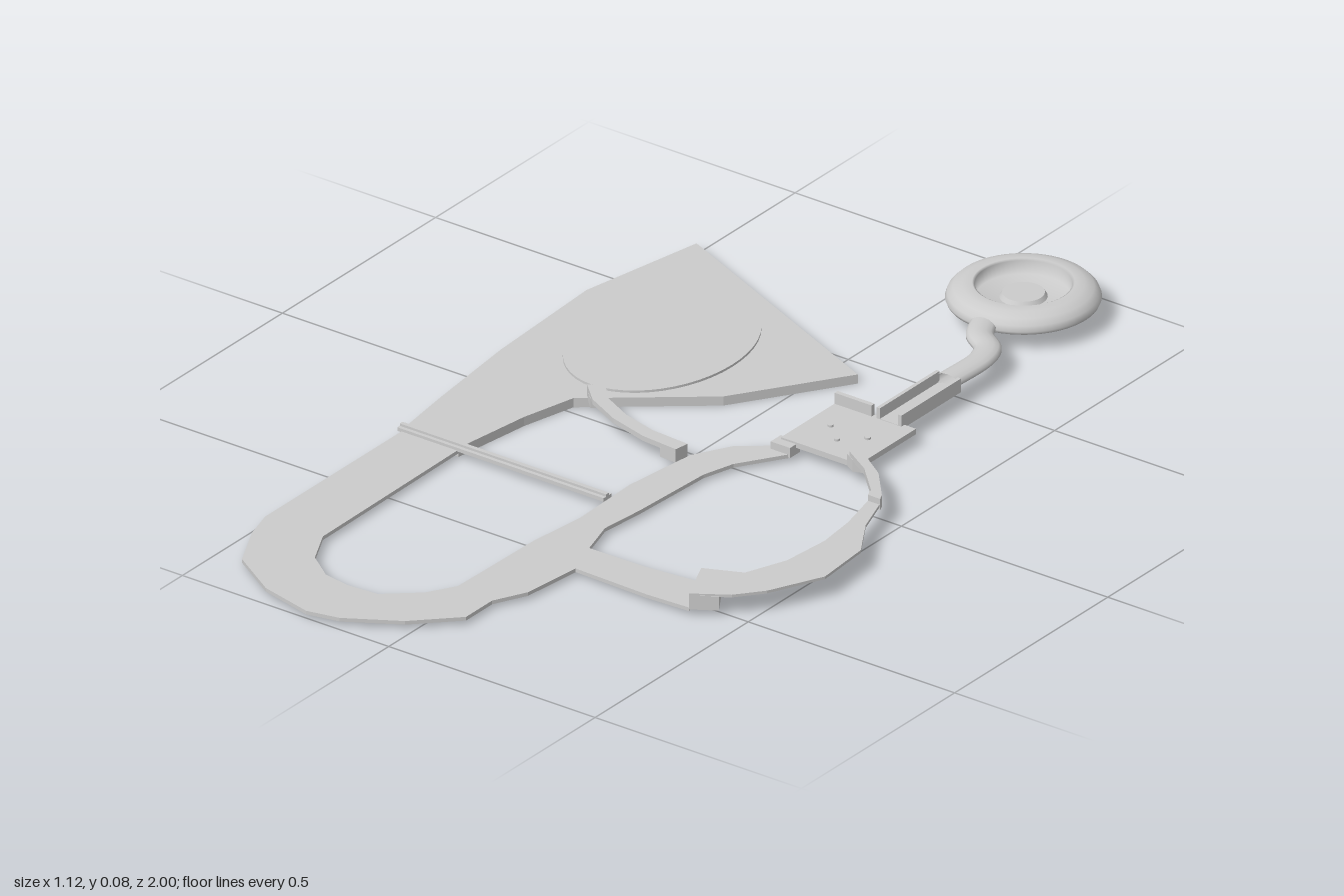
import * as THREE from 'three';

const material = new THREE.MeshStandardMaterial({ color: 0xcccccc, side: THREE.DoubleSide });

export function createModel() {
  const model = new THREE.Group();

  const add = (name, geometry, x = 0, y = 0, z = 0) => {
    const mesh = new THREE.Mesh(geometry, material);
    mesh.name = name;
    mesh.position.set(x, y, z);
    model.add(mesh);
    return mesh;
  };

  // Flat part cut from an [x, z] outline, between heights y0 and y1
  const slab = (name, outline, y0, y1) => {
    const shape = new THREE.Shape(outline.map(([x, z]) => new THREE.Vector2(x, -z)));
    const geometry = new THREE.ExtrudeGeometry(shape, { depth: y1 - y0, bevelEnabled: false });
    return add(name, geometry.rotateX(-Math.PI / 2), 0, y0, 0);
  };

  // Box given by its limits
  const box = (name, x0, x1, y0, y1, z0, z1) =>
    add(name, new THREE.BoxGeometry(x1 - x0, y1 - y0, z1 - z0), (x0 + x1) / 2, (y0 + y1) / 2, (z0 + z1) / 2);

  // Fan-shaped end plate with a raised oval pad
  slab('fanPlate', [
    [-0.5, 0.28], [-0.52, 0.13], [-0.545, -0.1], [-0.56, -0.4], [-0.505, -0.685],
    [0.075, -0.43], [-0.08, -0.2], [-0.31, -0.02], [-0.34, 0.1], [-0.365, 0.28],
  ], 0, 0.02);
  const pad = add('ovalPad', new THREE.CylinderGeometry(1, 1, 0.005, 48), -0.31, 0.0225, -0.31);
  pad.scale.set(0.17, 1, 0.23);

  // Thin U-shaped strip with its side branch
  slab('mainStrip', [
    [-0.5, 0.28], [-0.5, 0.73], [-0.48, 0.8], [-0.43, 0.9], [-0.32, 0.97], [-0.2, 1],
    [-0.13, 0.985], [-0.02, 0.92], [0.065, 0.835], [0.065, 0.75], [0.1, 0.68], [0.115, 0.545],
    [0.29, 0.55], [0.39, 0.545], [0.345, 0.445], [0.22, 0.458], [0.085, 0.46],
    [0.06, 0.375], [0.07, 0.275], [0.08, 0.08], [0.1, 0.01], [0.165, -0.09], [0.125, -0.105],
    [0.055, -0.05], [0.01, 0.03], [-0.01, 0.2], [-0.005, 0.37], [-0.02, 0.5], [-0.025, 0.74],
    [-0.06, 0.8], [-0.13, 0.86], [-0.2, 0.865], [-0.26, 0.855], [-0.32, 0.81], [-0.36, 0.73],
    [-0.365, 0.28],
  ], 0.008, 0.016);

  // Raised side loop, its support post and the bridge to the joint plate
  slab('sideLoop', [
    [0.46, 0.01], [0.495, 0.11], [0.55, 0.2], [0.56, 0.33], [0.505, 0.445], [0.46, 0.5],
    [0.39, 0.545], [0.345, 0.445], [0.425, 0.41], [0.46, 0.32], [0.47, 0.21], [0.46, 0.12], [0.435, 0.015],
  ], 0.041, 0.047);
  slab('loopPost', [[0.39, 0.545], [0.345, 0.445], [0.385, 0.428], [0.44, 0.515]], 0.012, 0.043);
  slab('loopBridge', [
    [0.3, -0.1], [0.32, -0.115], [0.4, -0.06], [0.46, 0.01], [0.467, 0.025],
    [0.437, 0.025], [0.43, 0.005], [0.365, -0.06],
  ], 0.046, 0.06);
  slab('bridgeEnd', [[0.29, -0.105], [0.32, -0.115], [0.34, -0.1], [0.315, -0.09]], 0.024, 0.05);
  slab('bridgeEnd', [[0.435, -0.02], [0.46, 0.01], [0.467, 0.025], [0.437, 0.025], [0.415, -0.01]], 0.035, 0.05);

  // Curved bar standing on two feet
  slab('curvedBar', [
    [-0.295, -0.045], [-0.265, -0.065], [-0.23, -0.025], [-0.16, 0.01], [-0.08, 0.032], [0.01, 0.038],
    [0.005, 0.07], [-0.08, 0.063], [-0.17, 0.038], [-0.25, -0.002],
  ], 0.033, 0.044);
  slab('barFoot', [[-0.295, -0.045], [-0.265, -0.065], [-0.24, -0.035], [-0.265, -0.015]], 0.015, 0.035);
  slab('barFoot', [[-0.035, 0.036], [0.01, 0.038], [0.005, 0.07], [-0.035, 0.067]], 0.014, 0.035);

  // Straight cross bar with a narrow rib
  box('crossBar', -0.51, -0.01, 0.014, 0.022, 0.26, 0.285);
  box('crossBarRib', -0.51, -0.01, 0.022, 0.027, 0.268, 0.277);

  // Joint plate with lip, foot and rivets
  box('jointPlate', 0.13, 0.32, 0.024, 0.036, -0.29, -0.105);
  box('jointLip', 0.13, 0.22, 0.034, 0.06, -0.29, -0.28);
  box('jointFoot', 0.12, 0.167, 0.01, 0.032, -0.118, -0.085);
  for (const [x, z] of [[0.18, -0.2], [0.225, -0.16], [0.27, -0.2]])
    add('rivet', new THREE.CylinderGeometry(0.006, 0.006, 0.005, 12), x, 0.038, z);

  // Open channel stem
  box('stemFloor', 0.232, 0.292, 0.03, 0.037, -0.475, -0.28);
  for (const x of [0.232, 0.284]) box('stemWall', x, x + 0.008, 0.03, 0.06, -0.475, -0.28);

  // Bent neck leading to the dish
  const path = new THREE.CatmullRomCurve3([
    [0.262, -0.47], [0.262, -0.58], [0.245, -0.625], [0.2, -0.66], [0.17, -0.72],
  ].map(([x, z]) => new THREE.Vector3(x, 0, z)));
  const neck = add('neck', new THREE.TubeGeometry(path, 28, 0.028, 14), 0, 0.048, 0);
  neck.scale.y = 0.5;

  // Round dish with a rolled rim, sunken floor and central hub
  const rim = [
    [0, 0.034], [0.14, 0.034], [0.15, 0.039], [0.153, 0.046], [0.149, 0.057], [0.138, 0.068],
    [0.12, 0.075], [0.1, 0.077], [0.095, 0.074], [0.093, 0.046], [0, 0.046],
  ].map(([r, y]) => new THREE.Vector2(r, y));
  add('dish', new THREE.LatheGeometry(rim, 56), 0.167, 0, -0.847);
  add('dishHub', new THREE.CylinderGeometry(0.042, 0.048, 0.01, 32), 0.167, 0.05, -0.847);
  return model;
}
